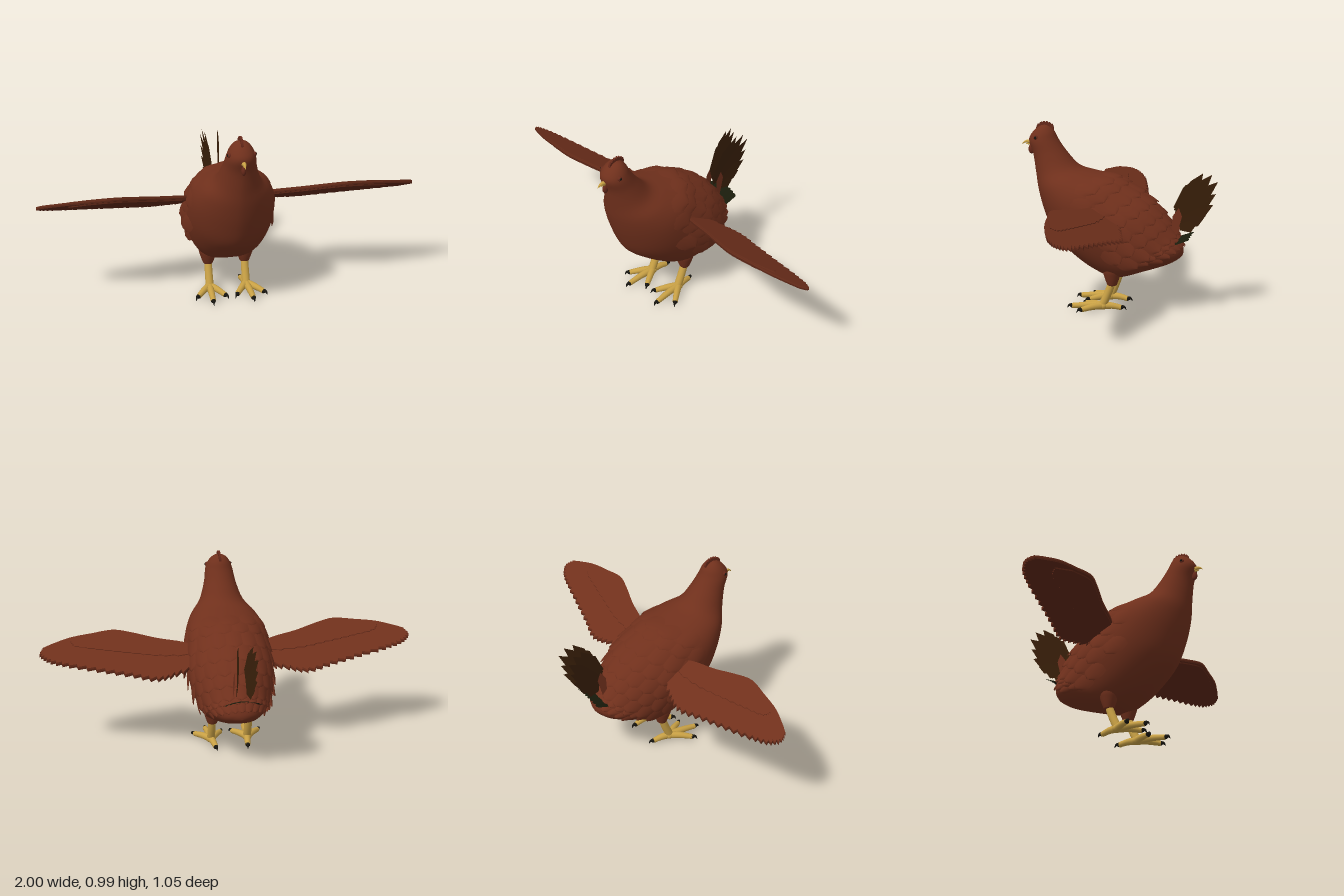
import * as THREE from 'three';
import { mergeGeometries, mergeVertices } from 'three/addons/utils/BufferGeometryUtils.js';

const V = (x, y, z) => new THREE.Vector3(x, y, z);
const mat = (name, color, side = THREE.FrontSide) => {
  const m = new THREE.MeshStandardMaterial({ color, side });
  m.name = name;
  return m;
};

// Surface grid: fn(s, t) with s and t in 0..1
function grid(fn, ns, nt) {
  const pos = [], idx = [];
  for (let i = 0; i <= ns; i++)
    for (let j = 0; j <= nt; j++) pos.push(...fn(i / ns, j / nt).toArray());
  for (let i = 0; i < ns; i++)
    for (let j = 0; j < nt; j++) {
      const a = i * (nt + 1) + j, b = a + nt + 1;
      idx.push(a, b, a + 1, b, b + 1, a + 1);
    }
  let g = new THREE.BufferGeometry();
  g.setAttribute('position', new THREE.Float32BufferAttribute(pos, 3));
  g.setIndex(idx);
  g = mergeVertices(g, 1e-5);
  g.computeVertexNormals();
  return g;
}

// Tapered tube along a path
function horn(points, r0, r1, sides = 12) {
  const c = new THREE.CatmullRomCurve3(points);
  return grid((s, t) => {
    const T = c.getTangent(s), a = t * Math.PI * 2, r = r0 + (r1 - r0) * s;
    const side = V(0, 1, 0).cross(T).normalize(), b = T.clone().cross(side);
    return c.getPoint(s).addScaledVector(b, r * Math.cos(a)).addScaledVector(side, r * Math.sin(a));
  }, 8, sides);
}

// Flat pointed feather
function leaf(base, tip, side, width) {
  return grid((s, t) => {
    const w = width * (s < 0.7 ? 0.55 + 0.45 * s / 0.7 : (1 - s) / 0.3);
    return base.clone().lerp(tip, s).addScaledVector(side, (t - 0.5) * w);
  }, 10, 2);
}

// Body cross-sections: front z, y, back z, y, half width
const RINGS = [
  [0.40, 0.974, 0.40, 0.974, 0], [0.43, 0.964, 0.372, 0.964, 0.032], [0.466, 0.932, 0.347, 0.937, 0.058],
  [0.484, 0.89, 0.326, 0.895, 0.074], [0.462, 0.82, 0.28, 0.83, 0.087], [0.447, 0.72, 0.212, 0.76, 0.118],
  [0.43, 0.62, 0.12, 0.733, 0.175], [0.395, 0.50, 0.0, 0.708, 0.215], [0.34, 0.38, -0.10, 0.65, 0.228],
  [0.24, 0.29, -0.19, 0.58, 0.228], [0.12, 0.215, -0.26, 0.50, 0.207], [0.0, 0.175, -0.302, 0.435, 0.177],
  [-0.14, 0.21, -0.332, 0.385, 0.14], [-0.27, 0.252, -0.346, 0.342, 0.09], [-0.325, 0.28, -0.35, 0.32, 0.04],
  [-0.347, 0.30, -0.347, 0.30, 0]];
const LAST = RINGS.length - 1;
const front = new THREE.CatmullRomCurve3(RINGS.map(r => V(r[4], r[1], r[0])), false, 'catmullrom');
const back = new THREE.CatmullRomCurve3(RINGS.map(r => V(0, r[3], r[2])), false, 'catmullrom');

// Point on the body: keeled breast in front, broad flat belly below
function skin(u, a) {
  u = Math.min(1, Math.max(0, u));
  const f = front.getPoint(u), b = back.getPoint(u), w = Math.max(0, f.x);
  const c = Math.cos(a), sn = Math.sin(a);
  const keel = THREE.MathUtils.smoothstep(u, 0.2, 0.35);
  const belly = THREE.MathUtils.smoothstep(u, 0.5, 0.7);
  const power = c > 0 ? 1 + Math.min(1, c * 2) * (0.15 * keel - 0.5 * belly) : 1;
  return V(w * Math.sign(sn) * Math.abs(sn) ** power,
    (f.y + b.y) / 2 + c * (f.y - b.y) / 2, (f.z + b.z) / 2 + c * (f.z - b.z) / 2);
}

// Rounded feather lying on the body, lifted at the tip
function bodyFeather(u, a, length, half, lift) {
  const e = 0.002, p = skin(u, a);
  const du = skin(u + e, a).sub(p).divideScalar(e), da = skin(u, a + e).sub(p).divideScalar(e);
  const n = du.clone().cross(da).normalize();
  const ku = length / du.length(), ka = half / da.length();
  return grid((s, t) => {
    const w = s < 0.5 ? 0.75 + 0.5 * s : Math.sqrt(Math.max(0, 1 - ((s - 0.5) / 0.5) ** 2));
    const k = 2 * t - 1;
    return skin(u + ku * s, a + ka * k * w).addScaledVector(n, -0.004 + lift * s - 0.004 * k * k);
  }, 8, 6);
}

// Wing outline with a saw-toothed feather edge
function wingShape(sign, lead, trail, teeth, depth) {
  const curve = new THREE.CatmullRomCurve3(trail.map(p => V(p[0], p[1], 0)));
  const edge = new THREE.CatmullRomCurve3(lead.map(p => V(p[0], p[1], 0)));
  const pts = edge.getPoints(24).map(p => [p.x, p.y]);
  for (let i = 0; i < teeth; i++) {
    const tip = curve.getPoint((i + 0.3) / teeth), notch = curve.getPoint((i + 1) / teeth);
    pts.push([tip.x, tip.y]);
    pts.push([notch.x - depth * 0.7 * (1 - i / teeth), notch.y + depth * (0.4 + 0.6 * i / teeth)]);
  }
  return new THREE.Shape(pts.map(p => new THREE.Vector2(sign * p[0], -p[1])));
}
function wingPlate(shape, lift, thick) {
  const g = new THREE.ExtrudeGeometry(shape, { depth: thick, bevelEnabled: false });
  const p = g.attributes.position;
  for (let i = 0; i < p.count; i++) {
    const z = -p.getY(i);
    p.setXYZ(i, p.getX(i), 0.509 + 0.56 * z + lift + p.getZ(i), z);
  }
  g.computeVertexNormals();
  return g;
}

export function createModel() {
  const hen = new THREE.Group();
  hen.name = 'hen';
  const brown = mat('russetPlumage', 0x70301c);
  const feather = mat('russetFeather', 0x70301c, THREE.DoubleSide);
  const under = mat('wingUnderside', 0x5c2616);
  const tailMat = mat('tailBrown', 0x391f09, THREE.DoubleSide);
  const dark = mat('undertailGreenBlack', 0x191b0b, THREE.DoubleSide);
  const yellow = mat('legYellow', 0xc9a145);
  const black = mat('clawBlack', 0x16140f);
  const red = mat('combRed', 0x66291a);
  const add = (name, geo, m, parent = hen) => {
    const mesh = new THREE.Mesh(geo, m);
    mesh.name = name;
    parent.add(mesh);
    return mesh;
  };

  // Body, neck and head in one smooth loft
  add('body', grid((s, t) => skin(s, t * Math.PI * 2), 75, 48), brown);

  // Overlapping feathers over the back and flanks
  const coat = [];
  for (let row = 0; row < 9; row++) {
    const u = (5.9 + row * 0.7) / LAST;
    const size = row > 6 ? 0.75 : 1.15;
    const step = 0.074 * size / skin(u, 1.9).distanceTo(skin(u, 1.91)) * 0.01;
    const start = row < 3 ? 1.75 - row * 0.2 : 1.2;
    for (let a = Math.PI - (row % 2) * step / 2; a > start; a -= step) {
      const lift = (row < 2 ? 0.014 : 0.02) + (a < 1.7 && row > 2 && row < 7 ? 0.01 : 0);
      coat.push(bodyFeather(u, a, 0.12 * size, 0.045 * size, lift));
      if (a < Math.PI - 0.01) coat.push(bodyFeather(u, 2 * Math.PI - a, 0.12 * size, 0.045 * size, lift));
    }
  }
  add('bodyFeathers', mergeGeometries(coat), feather);

  // Comb: thin scalloped crest
  const crest = new THREE.Shape();
  crest.moveTo(-0.445, 0.945);
  for (let i = 0; i <= 24; i++) {
    const k = i / 24;
    crest.lineTo(-0.445 + 0.095 * k, 0.957 + 0.028 * Math.sin(Math.PI * k) ** 0.6 + 0.007 * Math.abs(Math.sin(k * 6 * Math.PI)));
  }
  crest.lineTo(-0.35, 0.945);
  const comb = new THREE.ExtrudeGeometry(crest, { depth: 0.012, bevelEnabled: false });
  comb.translate(0, 0, -0.006).rotateY(Math.PI / 2);
  add('comb', comb, red);

  // Beak and wattle
  add('upperBeak', horn([V(0, 0.876, 0.468), V(0, 0.881, 0.495), V(0, 0.876, 0.513), V(0, 0.864, 0.527)], 0.014, 0), yellow);
  add('lowerBeak', horn([V(0, 0.869, 0.465), V(0, 0.868, 0.49), V(0, 0.867, 0.507)], 0.009, 0), yellow);
  const wattle = add('wattle', new THREE.SphereGeometry(1, 16, 12), red);
  wattle.scale.set(0.012, 0.025, 0.017);
  wattle.position.set(0, 0.84, 0.474);

  for (const s of [1, -1]) {
    const side = s > 0 ? 'left' : 'right';

    // Eye
    add(side + 'Eye', new THREE.SphereGeometry(0.013, 16, 12), red).position.set(s * 0.06, 0.91, 0.432);
    add(side + 'Pupil', new THREE.SphereGeometry(0.007, 14, 10), black).position.set(s * 0.0685, 0.911, 0.433);

    // Wing: darker lower layers, russet upper layer and raised coverts
    const wing = new THREE.Group();
    wing.name = side + 'Wing';
    hen.add(wing);
    const outline = wingShape(s,
      [[0.12, 0.06], [0.24, 0.11], [0.38, 0.145], [0.50, 0.185], [0.60, 0.21], [0.72, 0.195], [0.84, 0.175], [0.94, 0.14]],
      [[0.98, 0.125], [1.0, 0.085], [0.96, 0.045], [0.86, 0.01], [0.70, -0.03], [0.54, -0.07], [0.40, -0.105], [0.29, -0.08], [0.14, -0.03]],
      27, 0.022);
    add(side + 'WingLower', wingPlate(outline, -0.009, 0.009), under, wing);
    add(side + 'WingUpper', wingPlate(outline, 0, 0.009), brown, wing);
    const covert = wingShape(s,
      [[0.14, 0.06], [0.24, 0.105], [0.38, 0.138], [0.50, 0.178], [0.60, 0.202], [0.74, 0.185]],
      [[0.84, 0.15], [0.82, 0.12], [0.70, 0.09], [0.55, 0.06], [0.38, 0.03], [0.16, 0.02]], 16, 0.008);
    add(side + 'WingCoverts', wingPlate(covert, 0.009, 0.005), brown, wing);
    add(side + 'WingUnderCoverts', wingPlate(covert, -0.016, 0.007), under, wing);

    // Tail fan: one upright row of pointed feathers each side
    const tips = [[-0.405, 0.695], [-0.445, 0.735], [-0.492, 0.728], [-0.522, 0.69], [-0.512, 0.625], [-0.498, 0.565], [-0.462, 0.51], [-0.415, 0.465]];
    const fan = tips.map(([z, y], i) => {
      const k = i / (tips.length - 1), lay = s * i * 0.001;
      const base = V(s * 0.018 + lay, 0.55 - 0.095 * k, -0.312 - 0.022 * k);
      const tip = V(s * (0.02 + 0.125 * (-z - 0.31)) + lay, y, z);
      const across = V(0, -(tip.z - base.z), tip.y - base.y).normalize();
      return leaf(base, tip, across, 0.062);
    });
    add(side + 'TailFan', mergeGeometries(fan), tailMat);
    add(side + 'RumpFeather', leaf(V(s * 0.04, 0.41, -0.305), V(s * 0.036, 0.56, -0.33), V(0, 0, 1), 0.05), feather);

    // Thigh, shank and toes
    const leg = new THREE.Group();
    leg.name = side + 'Leg';
    leg.position.x = s * 0.1;
    hen.add(leg);
    const profile = [[0, 0.138], [0.022, 0.141], [0.03, 0.155], [0.042, 0.19], [0.05, 0.225], [0.045, 0.27], [0, 0.30]];
    const thigh = add(side + 'Thigh', new THREE.LatheGeometry(
      new THREE.SplineCurve(profile.map(p => new THREE.Vector2(...p))).getPoints(28)
        .map(p => p.setX(Math.max(0, p.x))), 24), brown, leg);
    thigh.position.z = 0.013;
    add(side + 'Shank', horn([V(0, 0.20, 0.0), V(0, 0.11, 0.03), V(0, 0.025, 0.066)], 0.02, 0.022, 16), yellow, leg);
    const knuckle = add(side + 'Ankle', new THREE.SphereGeometry(0.026, 16, 12), yellow, leg);
    knuckle.position.set(0, 0.027, 0.062);
    knuckle.scale.y = 0.85;
    for (const [name, x, z] of [['Inner', -0.065, 0.165], ['Middle', 0.008, 0.225], ['Outer', 0.075, 0.16], ['Back', -0.012, -0.03]]) {
      const end = V(s * x, 0.019, z), start = V(0, 0.027, 0.06);
      const dir = end.clone().sub(start).setY(0).normalize();
      const mid = start.clone().lerp(end, 0.5).setY(0.027);
      add(side + name + 'Toe', horn([start, mid, end], 0.021, 0.014), yellow, leg);
      add(side + name + 'ToePad', new THREE.SphereGeometry(0.0145, 12, 10), yellow, leg).position.copy(end).addScaledVector(dir, -0.003);
      add(side + name + 'Claw', horn([end.clone().addScaledVector(dir, 0.002), end.clone().addScaledVector(dir, 0.02).setY(0.021),
        end.clone().addScaledVector(dir, 0.032).setY(0.003)], 0.0135, 0), black, leg);
    }
  }

  // Undertail: arched band of short dark feathers with a notched rim
  add('undertailFeathers', grid((s, t) => {
    const k = 2 * t - 1, notch = 0.008 * Math.abs(Math.sin(t * 9 * Math.PI));
    return V(k * (0.088 + 0.012 * s), 0.388 + 0.035 * s - 0.024 * k * k,
      -0.30 - s * (0.095 + notch - 0.012 * k * k));
  }, 6, 54), dark);
  return hen;
}
